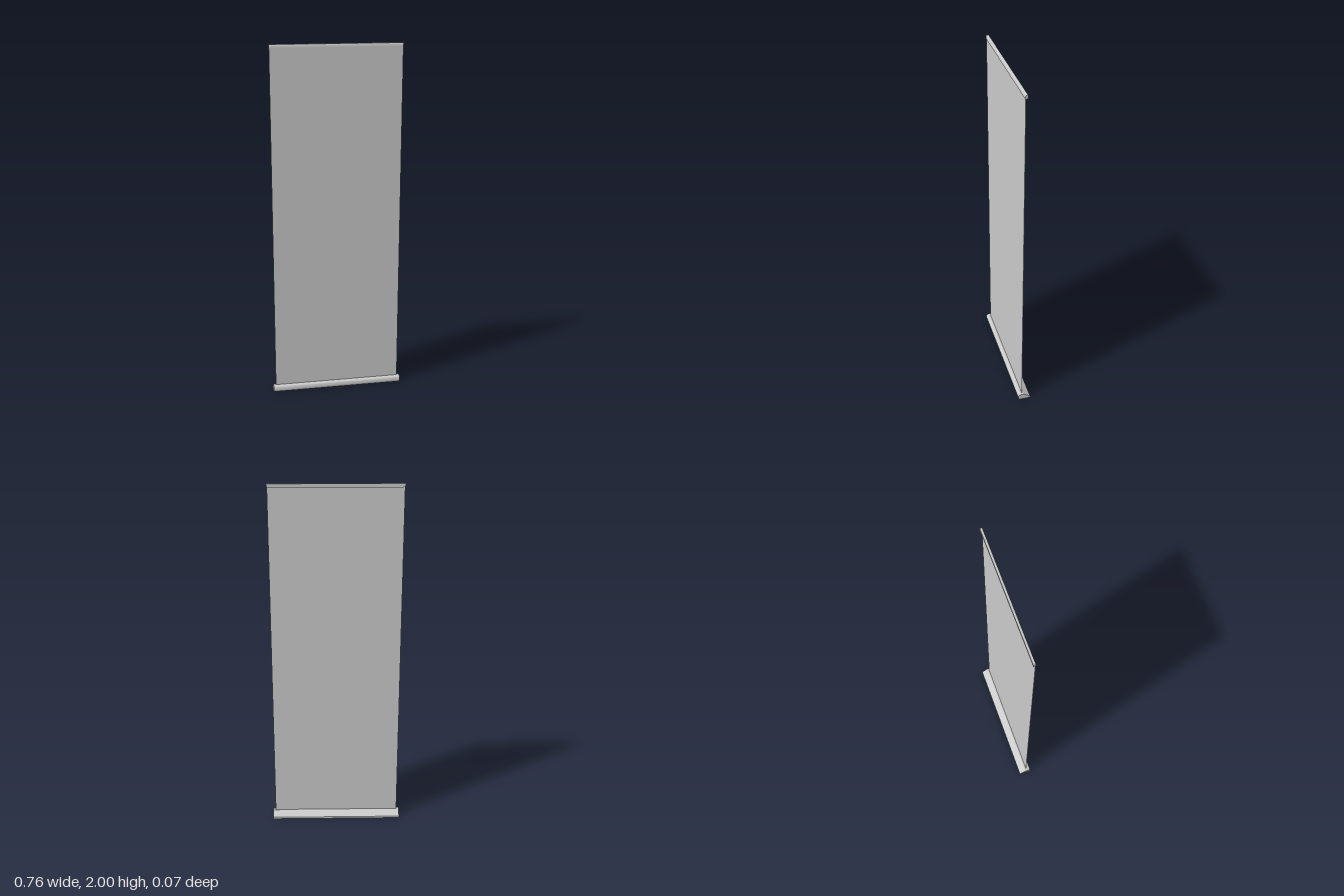
import * as THREE from 'three';
import { toCreasedNormals } from 'three/addons/utils/BufferGeometryUtils.js';

const material = new THREE.MeshStandardMaterial({ color: 0xcccccc });

// Extrude a (z, y) cross-section along x, centred on x = 0
function bar(name, shape, length) {
  const geo = new THREE.ExtrudeGeometry(shape, { depth: length, bevelEnabled: false, curveSegments: 8 });
  geo.translate(0, 0, -length / 2);
  geo.rotateY(-Math.PI / 2);
  const mesh = new THREE.Mesh(toCreasedNormals(geo, 0.5), material);
  mesh.name = name;
  return mesh;
}

export function createModel() {
  const group = new THREE.Group();
  group.name = 'rollUpBanner';

  // Base cassette: rounded front, flat crown, sloping back
  const base = new THREE.Shape();
  base.moveTo(-0.036, 0);
  base.lineTo(0.026, 0);
  base.quadraticCurveTo(0.034, 0.001, 0.036, 0.012);
  base.lineTo(0.036, 0.022);
  base.quadraticCurveTo(0.035, 0.037, 0.02, 0.037);
  base.lineTo(0.002, 0.037);
  base.lineTo(-0.036, 0.011);
  base.closePath();
  group.add(bar('baseCassette', base, 0.756));

  // Banner sheet
  const sheet = new THREE.Mesh(new THREE.BoxGeometry(0.728, 1.955, 0.002), material);
  sheet.name = 'bannerSheet';
  sheet.position.set(0, 0.03 + 1.955 / 2, 0.011);
  group.add(sheet);

  // Top rail: flat back, rounded front upper edge
  const rail = new THREE.Shape();
  rail.moveTo(0, 1.98);
  rail.lineTo(0.014, 1.98);
  rail.lineTo(0.014, 1.993);
  rail.quadraticCurveTo(0.013, 2, 0.006, 2);
  rail.lineTo(0, 2);
  rail.closePath();
  group.add(bar('topRail', rail, 0.73));

  return group;
}
